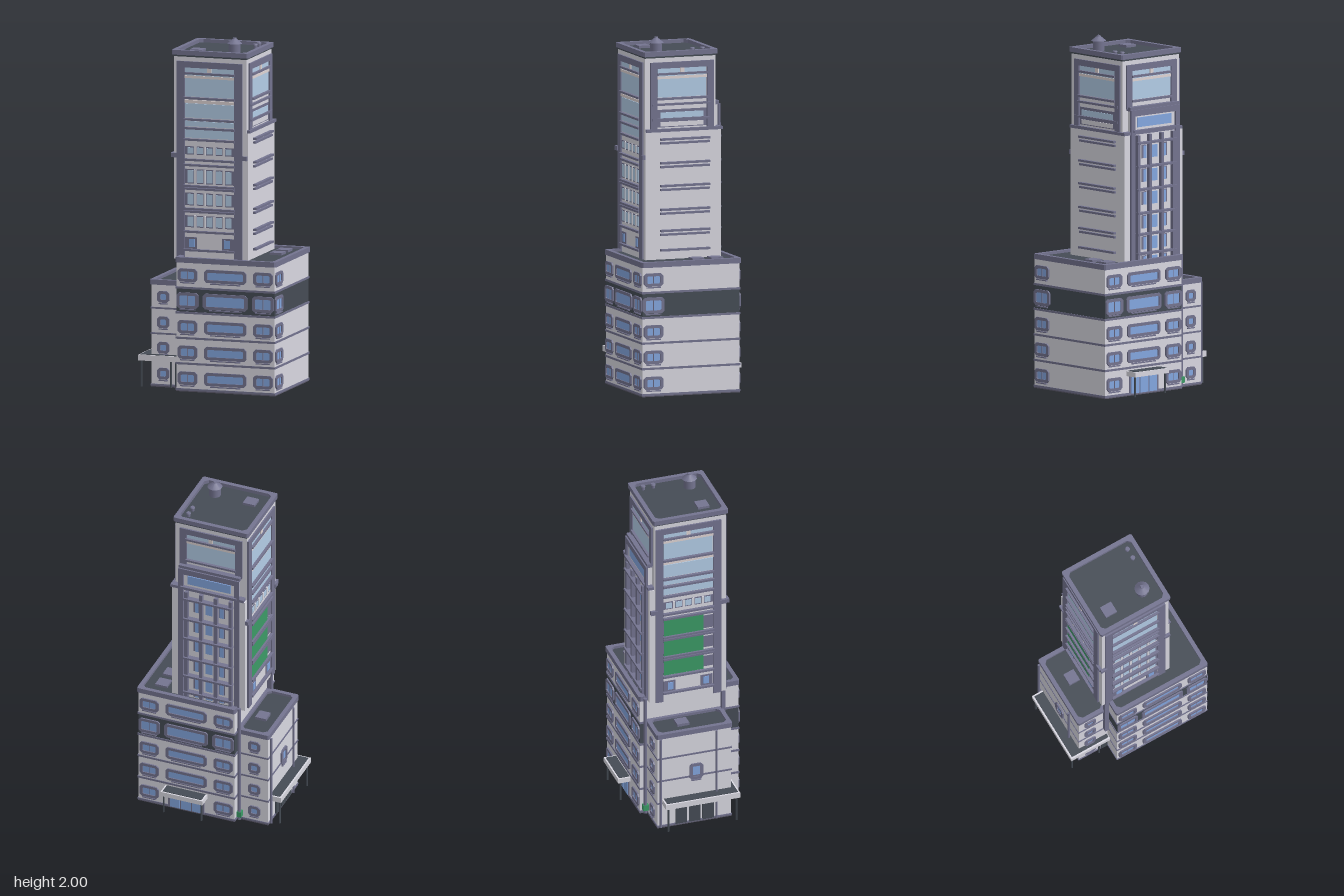
import * as THREE from 'three';

const mat = (name, color) => {
  const m = new THREE.MeshStandardMaterial({ color });
  m.name = name;
  return m;
};
const WALL = mat('paleWall', 0xd9d8e1), TRIM = mat('slateTrim', 0x747490), DARK = mat('charcoal', 0x454c55);
const BLUE = mat('blueGlass', 0x84a7e0), SKY = mat('skyGlass', 0xb4cee8), CREAM = mat('warmPanel', 0xdfd5d5);
const GREEN = mat('greenPanel', 0x3c9a66), BASE = mat('underside', 0x5c5a6c);

function mesh(parent, name, geometry, material) {
  const m = new THREE.Mesh(geometry, material);
  m.name = name;
  parent.add(m);
  return m;
}
// Box given by its limits on each axis
function box(parent, name, material, x0, x1, y0, y1, z0, z1) {
  const m = mesh(parent, name, new THREE.BoxGeometry(x1 - x0, y1 - y0, z1 - z0), material);
  m.position.set((x0 + x1) / 2, (y0 + y1) / 2, (z0 + z1) / 2);
}
function cyl(parent, name, material, x, z, r0, r1, y0, y1, sides = 8) {
  const m = mesh(parent, name, new THREE.CylinderGeometry(r1, r0, y1 - y0, sides), material);
  m.position.set(x, (y0 + y1) / 2, z);
}
// Local frame of a wall: x runs along it, z points outward
function side(parent, name, turns, x, z) {
  const g = new THREE.Group();
  g.name = name;
  g.rotation.y = turns * Math.PI / 2;
  g.position.set(x, 0, z);
  parent.add(g);
  return g;
}
// Chamfered rectangle outline
function octagon(C, w, h, c) {
  const s = new C(), a = w / 2, b = h / 2;
  [[-a + c, -b], [a - c, -b], [a, -b + c], [a, b - c], [a - c, b], [-a + c, b], [-a, b - c], [-a, -b + c]]
    .forEach(([x, y], i) => (i ? s.lineTo(x, y) : s.moveTo(x, y)));
  s.closePath();
  return s;
}
// Roof rim: rounded outer corners, chamfered inner ones
function rim(parent, name, x0, x1, z0, z1, y0, y1, width) {
  const w = x1 - x0, d = z1 - z0, s = octagon(THREE.Shape, w, d, 0.008);
  s.holes.push(octagon(THREE.Path, w - 2 * width, d - 2 * width, 0.02));
  const geo = new THREE.ExtrudeGeometry(s, { depth: y1 - y0, bevelEnabled: false });
  geo.rotateX(-Math.PI / 2);
  mesh(parent, name, geo, TRIM).position.set((x0 + x1) / 2, y0, (z0 + z1) / 2);
}
// Chamfered window with frame, sill and an optional central mullion
function windowUnit(parent, u, y, w, h, mullion) {
  const g = new THREE.Group();
  g.name = 'window';
  g.position.set(u, y, 0);
  parent.add(g);
  const s = octagon(THREE.Shape, w, h, 0.014);
  s.holes.push(octagon(THREE.Path, w - 0.036, h - 0.033, 0.005));
  mesh(g, 'windowFrame', new THREE.ExtrudeGeometry(s, { depth: 0.009, bevelEnabled: false }), TRIM);
  box(g, 'windowGlass', BLUE, -w / 2 + 0.016, w / 2 - 0.016, -h / 2 + 0.014, h / 2 - 0.014, 0, 0.003);
  if (mullion) box(g, 'mullion', TRIM, -0.002, 0.002, -h / 2 + 0.015, h / 2 - 0.015, 0, 0.006);
  box(g, 'sill', TRIM, -w * 0.36, w * 0.36, -h / 2 - 0.009, -h / 2 - 0.003, 0, 0.01);
}
// Rectangular surround made of two posts and a head
function surround(g, u, y0, y1, t, depth) {
  for (const s of [-1, 1]) box(g, 'surroundPost', TRIM, s * (u - t / 2) - t / 2, s * (u - t / 2) + t / 2, y0, y1, 0, depth);
  box(g, 'surroundHead', TRIM, -u + t, u - t, y1 - 0.035, y1, 0, depth);
}
function ledge(g, y, u = 0.152, out = 0.018) {
  box(g, 'ledge', TRIM, -u, u, y - 0.006, y + 0.006, 0, out);
}
function penthouseWindow(g) {
  box(g, 'penthouseGlass', SKY, -0.145, 0.145, 1.67, 1.835, 0, 0.004);
  box(g, 'blind', CREAM, -0.148, 0.148, 1.775, 1.79, 0, 0.008);
  box(g, 'lamp', CREAM, -0.012, 0.012, 1.81, 1.835, 0, 0.01);
  ledge(g, 1.803);
  ledge(g, 1.662);
}
const LEDGES = [1.425, 1.29, 1.16, 1.025, 0.905, 0.795];

// Full-height facade of strip glazing over rows of small panes
function glazedFacade(g, green) {
  surround(g, 0.195, 0.74, 1.87, 0.047, 0.01);
  penthouseWindow(g);
  box(g, 'blind', CREAM, -0.148, 0.148, 1.635, 1.65, 0, 0.008);
  for (const [a, b] of [[1.55, 1.63], [1.5, 1.53], [1.435, 1.485]]) box(g, 'stripGlass', SKY, -0.146, 0.146, a, b, 0, 0.004);
  for (const y of [1.54, 1.49, 1.425, 1.31, 1.28, 1.16, 1.145, 1.03, 1.015, 0.9, 0.795]) ledge(g, y);
  const rows = [[1.345, 1.38], [1.18, 1.25], [1.055, 1.115], [0.93, 0.985]];
  for (const [a, b] of rows) {
    box(g, 'paneBacking', TRIM, -0.148, 0.148, a - 0.006, b + 0.006, 0, 0.003);
    if (green && b < 1.3) {
      box(g, 'greenGlass', GREEN, -0.145, 0.09, a - 0.02, b + 0.02, 0, 0.006);
      continue;
    }
    for (let i = -2; i <= 2; i++) {
      box(g, 'pane', SKY, i * 0.057 - 0.018, i * 0.057 + 0.018, a, b, 0, 0.005);
      if (i < 2) box(g, 'pier', WALL, i * 0.057 + 0.022, i * 0.057 + 0.035, a - 0.006, b + 0.006, 0, 0.007);
    }
  }
  for (const s of [-1, 1]) {
    box(g, 'smallWindowFrame', TRIM, s * 0.11 - 0.035, s * 0.11 + 0.035, 0.802, 0.868, 0, 0.004);
    box(g, 'smallWindow', BLUE, s * 0.105 - 0.017, s * 0.105 + 0.017, 0.812, 0.858, 0, 0.007);
    box(g, 'bandBracket', TRIM, s * 0.205 - 0.02, s * 0.205 + 0.02, 1.32, 1.345, 0, 0.016);
  }
}

export function createModel() {
  const root = new THREE.Group();
  root.name = 'officeTower';

  // Main podium, five storeys with a dark fourth
  const FLOORS = [0.012, 0.16, 0.305, 0.45, 0.592, 0.74];
  for (let i = 0; i < 5; i++) {
    box(root, 'podiumStorey', i === 3 ? DARK : WALL, -0.17, 0.415, FLOORS[i], FLOORS[i + 1], -0.26, 0.325);
    box(root, 'floorLine', TRIM, -0.174, 0.419, FLOORS[i] - 0.006, FLOORS[i] + 0.006, -0.264, 0.329);
  }
  box(root, 'groundSlab', BASE, -0.172, 0.417, 0, 0.008, -0.262, 0.327);
  box(root, 'podiumRoof', DARK, -0.168, 0.413, 0.735, 0.75, -0.258, 0.323);
  rim(root, 'podiumParapet', -0.176, 0.422, -0.268, 0.33, 0.735, 0.765, 0.024);
  const front = side(root, 'podiumFront', 0, 0.122, 0.325);
  const back = side(root, 'podiumBack', 2, 0.122, -0.26);
  const right = side(root, 'podiumSide', 1, 0.415, 0);
  for (let i = 0; i < 5; i++) {
    const y = [0.077, 0.225, 0.37, 0.52, 0.665][i], big = i === 3 ? 0.015 : 0;
    for (const f of [front, back]) {
      for (const s of [-1, 1]) windowUnit(f, s * 0.225, y, 0.115 + big, 0.075 + big, true);
      if (f === front || i) windowUnit(f, 0, y, 0.25 + big, 0.075 + big, false);
    }
    windowUnit(right, -0.26, y, 0.115 + big, 0.075 + big, true);
  }

  // Rear entrance and canopy
  box(back, 'entranceFrame', TRIM, -0.11, 0.11, 0.008, 0.115, 0, 0.006);
  for (let i = -1; i <= 1; i++) box(back, 'entranceGlass', BLUE, i * 0.068 - 0.03, i * 0.068 + 0.03, 0.012, 0.105, 0, 0.009);
  box(root, 'rearCanopy', WALL, -0.005, 0.25, 0.115, 0.143, -0.334, -0.26);
  box(root, 'rearCanopyTop', DARK, 0.005, 0.24, 0.143, 0.146, -0.325, -0.264);
  for (const x of [0.008, 0.237]) cyl(root, 'canopyPost', DARK, x, -0.317, 0.006, 0.006, 0, 0.118);

  // Low wing
  box(root, 'wing', WALL, -0.357, -0.17, 0.008, 0.59, -0.218, 0.217);
  box(root, 'wingSlab', BASE, -0.36, -0.17, 0, 0.008, -0.221, 0.22);
  box(root, 'wingRoof', DARK, -0.355, -0.17, 0.585, 0.597, -0.216, 0.215);
  rim(root, 'wingParapet', -0.365, -0.165, -0.227, 0.225, 0.583, 0.612, 0.024);
  for (const y of [0.012, 0.16, 0.305, 0.45]) box(root, 'wingFloorLine', TRIM, -0.361, -0.17, y - 0.005, y + 0.005, -0.222, 0.221);
  const wingFront = side(root, 'wingFront', 0, -0.285, 0.217);
  const wingBack = side(root, 'wingBack', 2, -0.275, -0.218);
  const wingSide = side(root, 'wingSide', 3, -0.357, 0);
  for (const y of [0.077, 0.225, 0.37, 0.515]) {
    windowUnit(wingFront, 0, y, 0.072, 0.066, false);
    windowUnit(wingBack, 0, y, 0.072, 0.066, false);
  }
  windowUnit(wingSide, 0.01, 0.335, 0.08, 0.1, false);
  for (const u of [-0.08, 0.0, 0.08]) box(wingSide, 'sideDoor', DARK, u - 0.033, u + 0.033, 0.012, 0.125, 0, 0.008);
  box(wingFront, 'frontDoor', DARK, 0.07, 0.112, 0.008, 0.145, 0, 0.008);
  for (const z of [-0.205, 0.127]) cyl(root, 'drainPipe', TRIM, -0.371, z, 0.007, 0.007, 0.01, 0.585);
  cyl(root, 'cornerPipe', TRIM, -0.19, -0.236, 0.011, 0.011, 0.01, 0.76);
  box(root, 'utilityBox', GREEN, -0.205, -0.178, 0.03, 0.065, -0.25, -0.218);
  box(root, 'cornerPillar', TRIM, -0.198, -0.173, 0.3, 0.78, 0.217, 0.24);

  // Wraparound wing canopy
  box(root, 'wingCanopy', WALL, -0.425, -0.172, 0.15, 0.183, -0.19, 0.25);
  box(root, 'wingCanopyTop', DARK, -0.415, -0.176, 0.183, 0.186, -0.18, 0.24);
  for (const [x, z] of [[-0.41, -0.172], [-0.41, 0.234], [-0.235, 0.234]]) cyl(root, 'canopyPost', DARK, x, z, 0.006, 0.006, 0, 0.152);

  // Tower, with a slightly wider lower shaft
  box(root, 'lowerShaft', WALL, -0.217, 0.226, 0.74, 1.475, -0.218, 0.235);
  box(root, 'upperShaft', WALL, -0.217, 0.217, 1.475, 1.905, -0.19, 0.235);
  box(root, 'shaftCap', TRIM, -0.21, 0.235, 1.475, 1.492, -0.226, 0.232);
  box(root, 'towerRoof', DARK, -0.218, 0.218, 1.895, 1.912, -0.192, 0.237);
  rim(root, 'towerParapet', -0.228, 0.228, -0.2, 0.246, 1.905, 1.932, 0.025);

  glazedFacade(side(root, 'towerFront', 0, -0.003, 0.235), false);
  glazedFacade(side(root, 'towerWingFacade', 3, -0.217, 0.01), true);

  // Plain side: paired fins below, framed window above
  const fins = side(root, 'towerFins', 1, 0.226, 0);
  for (const y of LEDGES) {
    ledge(fins, y + 0.008, 0.148, 0.02);
    if (y > 0.8) ledge(fins, y - 0.014, 0.148, 0.014);
  }
  const upperSide = side(root, 'upperSideFacade', 1, 0.217, 0.014);
  surround(upperSide, 0.19, 1.49, 1.87, 0.04, 0.01);
  penthouseWindow(upperSide);
  box(upperSide, 'stripFrame', TRIM, -0.148, 0.148, 1.5, 1.6, 0, 0.003);
  box(upperSide, 'stripGlass', SKY, -0.13, 0.13, 1.552, 1.585, 0, 0.006);
  box(upperSide, 'stripSill', WALL, -0.13, 0.13, 1.505, 1.53, 0, 0.006);
  for (const y of [1.63, 1.545]) ledge(upperSide, y, 0.18, 0.015);

  // Rear: framed window over a latticed bay
  const upperBack = side(root, 'upperBackFacade', 2, 0, -0.19);
  surround(upperBack, 0.19, 1.62, 1.87, 0.042, 0.01);
  penthouseWindow(upperBack);
  box(root, 'bayHead', WALL, -0.175, 0.175, 1.48, 1.615, -0.216, -0.19);
  box(root, 'bayCap', TRIM, -0.185, 0.185, 1.61, 1.632, -0.222, -0.19);
  const bay = side(root, 'rearBay', 2, 0, -0.218);
  surround(bay, 0.185, 0.74, 1.615, 0.03, 0.012);
  box(bay, 'bayGlass', BLUE, -0.13, 0.13, 1.515, 1.57, -0.004, 0.004);
  ledge(bay, 1.495, 0.17, 0.022);
  for (const u of [-0.135, -0.045, 0.045, 0.135]) box(bay, 'latticePost', TRIM, u - 0.01, u + 0.01, 0.75, 1.47, 0, 0.022);
  for (const y of LEDGES) {
    ledge(bay, y, 0.148, 0.032);
    const low = Math.max(0.76, y - 0.09);
    box(bay, 'bayPane', BLUE, -0.02, 0.02, low, y - 0.02, 0, 0.005);
    for (const s of [-1, 1]) {
      box(bay, 'sidePaneFrame', TRIM, s * 0.078 - 0.018, s * 0.078 + 0.018, low, y - 0.015, 0, 0.003);
      box(bay, 'sidePane', BLUE, s * 0.075 - 0.011, s * 0.075 + 0.011, low, y - 0.02, 0, 0.005);
    }
  }

  // Roof equipment
  const UNITS = [[0.27, 0.342, 0.745, -0.19, -0.118], [0.27, 0.342, 0.745, -0.077, -0.006], [-0.286, -0.22, 0.595, -0.077, -0.005], [-0.147, -0.075, 1.908, 0.093, 0.162]];
  for (const [x0, x1, y, z0, z1] of UNITS) box(root, 'roofUnit', TRIM, x0, x1, y, y + 0.018, z0, z1);
  for (const z of [-0.13, -0.07]) {
    cyl(root, 'vent', TRIM, 0.163, z, 0.011, 0.011, 1.91, 1.932, 10);
    cyl(root, 'ventCap', TRIM, 0.163, z, 0.015, 0.012, 1.932, 1.938, 10);
  }
  cyl(root, 'tank', TRIM, 0.108, 0.127, 0.034, 0.034, 1.91, 1.97, 12);
  cyl(root, 'tankRoof', TRIM, 0.108, 0.127, 0.043, 0.012, 1.968, 1.994, 12);
  cyl(root, 'tankCap', TRIM, 0.108, 0.127, 0.012, 0.01, 1.994, 2, 8);
  return root;
}
